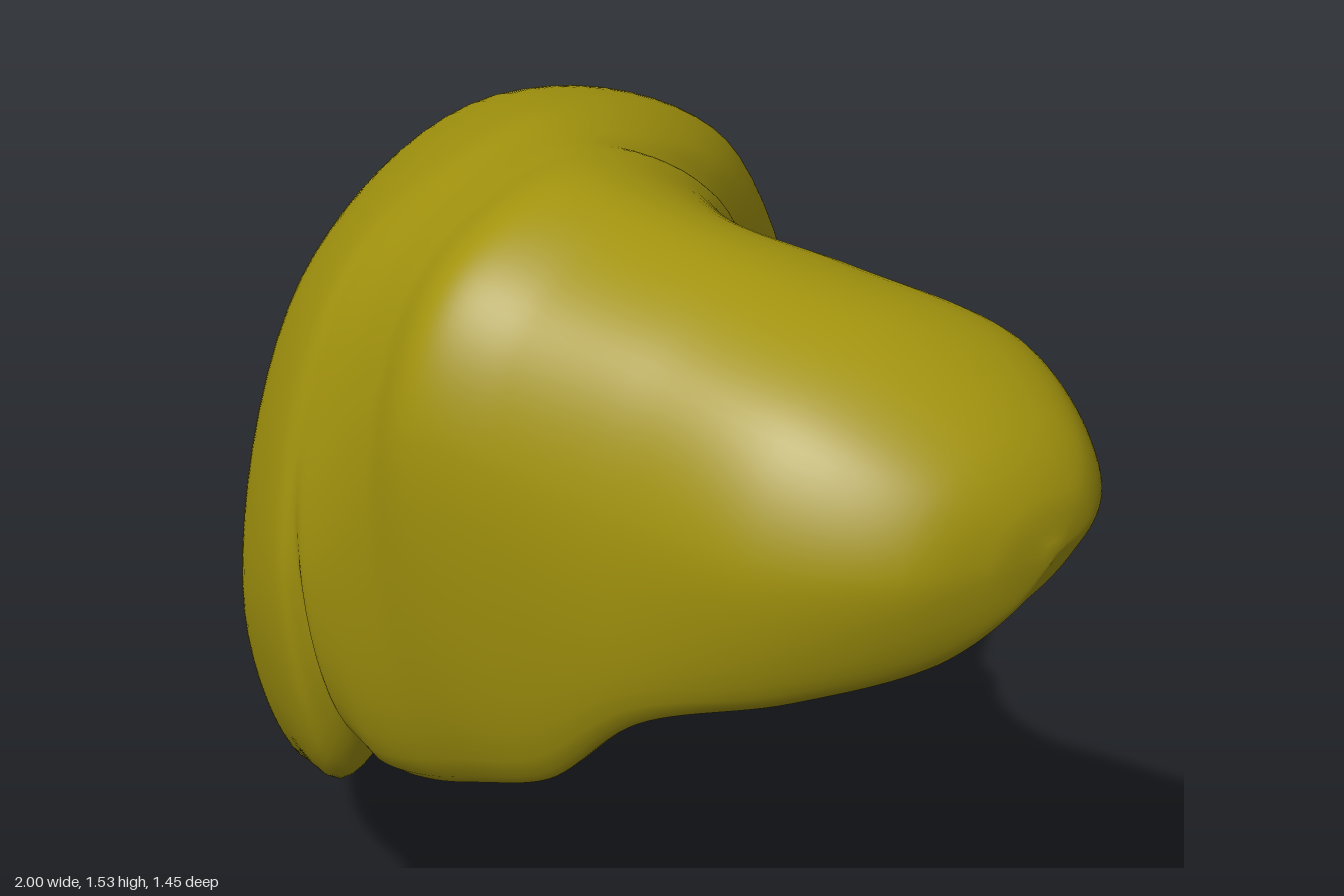
import * as THREE from 'three';

// Cross-sections along x for each lobe:
// x, lower front edge z y, front z y, top z y, rear edge z y, hollow of the underside
const RIGHT_LOBE = [
  [-1.0, -0.2, 0.32, -0.16, 0.48, -0.3, 0.65, -0.42, 0.46, -0.04],
  [-0.97, -0.08, 0.12, 0.0, 0.45, -0.28, 0.9, -0.53, 0.32, -0.08],
  [-0.91, -0.02, 0.05, 0.1, 0.45, -0.26, 1.07, -0.6, 0.2, -0.1],
  [-0.8, 0.12, 0.14, 0.26, 0.5, -0.2, 1.24, -0.69, 0.35, 0.05],
  [-0.65, 0.26, 0.21, 0.41, 0.55, -0.15, 1.35, -0.715, 0.53, 0.16],
  [-0.45, 0.41, 0.33, 0.56, 0.7, -0.05, 1.44, -0.665, 0.73, 0.18],
  [-0.25, 0.53, 0.43, 0.66, 0.85, 0.08, 1.5, -0.53, 0.87, 0.15],
];
const LEFT_LOBE = [
  [-0.18, 0.55, 0.54, 0.67, 0.88, 0.14, 1.515, -0.46, 0.89, 0.12],
  [-0.08, 0.57, 0.53, 0.68, 0.98, 0.2, 1.525, -0.33, 0.93, 0.14],
  [0.03, 0.58, 0.55, 0.695, 1.1, 0.26, 1.54, -0.2, 0.97, 0.14],
  [0.15, 0.58, 0.59, 0.715, 1.22, 0.33, 1.55, -0.05, 1.04, 0.13],
  [0.3, 0.57, 0.65, 0.675, 1.2, 0.32, 1.515, 0.02, 1.12, 0.13],
  [0.5, 0.57, 0.82, 0.63, 1.17, 0.3, 1.48, -0.03, 1.17, 0.11],
  [0.75, 0.5, 0.92, 0.58, 1.15, 0.25, 1.42, -0.07, 1.2, 0.06],
  [0.92, 0.38, 1.0, 0.46, 1.15, 0.22, 1.32, 0.02, 1.18, -0.01],
  [0.98, 0.3, 1.07, 0.34, 1.15, 0.21, 1.24, 0.1, 1.17, -0.02],
  [1.0, 0.22, 1.14, 0.225, 1.15, 0.21, 1.165, 0.195, 1.155, 0.0],
];
const SECTIONS = [...RIGHT_LOBE, ...LEFT_LOBE];
const SPLIT = RIGHT_LOBE.length; // section where the two lobes meet
const STEPS = 12;  // rings between sections
const AROUND = 90; // points in a ring

// Nine outline points of one cross-section
function outline([x, fz, fy, gz, gy, tz, ty, bz, by, hollow]) {
  const k = 0.73;
  const under = (s, depth) => [fz + (bz - fz) * s, fy + (by - fy) * s + hollow * depth];
  return [
    [fz, fy], [gz, gy],
    [tz + (gz - tz) * k, gy + (ty - gy) * k],
    [tz, ty],
    [tz + (bz - tz) * k, by + (ty - by) * k],
    [bz, by],
    under(0.75, 0.9), under(0.5, 1), under(0.25, 0.6),
  ].map(([z, y]) => new THREE.Vector3(x, y, z));
}

const dip = (d, width) => Math.exp(-((d / width) ** 2));

// Press the front cleft and the rear crease between the lobes into the surface
function crease(p) {
  const low = 1 - THREE.MathUtils.smoothstep(p.y, 0.75, 1.1);
  const front = THREE.MathUtils.smoothstep(p.z, 0.45, 0.6);
  p.z -= 0.02 * low * front * dip(p.x + 0.195, 0.018);
  const rear = 1 - THREE.MathUtils.smoothstep(p.z, -0.05, 0.25);
  const high = THREE.MathUtils.smoothstep(p.y, 0.9, 1.1);
  const amount = 0.025 * rear * high * dip(p.x - 0.02 - 0.2 * Math.min(p.z, 0), 0.04);
  p.z += amount;
  p.y -= amount * 0.6;
  return p;
}

// Smooth rings between two sections, closed with a fan at the chosen end
function loft(rails, first, last, capStart) {
  const pos = [], idx = [];
  const rings = (last - first) * STEPS;
  for (let i = 0; i <= rings; i++) {
    const t = (first + i / STEPS) / (SECTIONS.length - 1);
    const ring = new THREE.CatmullRomCurve3(rails.map((r) => r.getPoint(t)), true, 'centripetal');
    for (let j = 0; j < AROUND; j++) pos.push(...crease(ring.getPoint(j / AROUND)).toArray());
  }
  for (let i = 0; i < rings; i++) {
    for (let j = 0; j < AROUND; j++) {
      const n = (j + 1) % AROUND;
      const a = i * AROUND + j, b = a + AROUND, c = i * AROUND + n, d = c + AROUND;
      idx.push(a, b, c, b, d, c);
    }
  }
  const base = (capStart ? 0 : rings) * AROUND;
  const mid = new THREE.Vector3();
  for (let j = 0; j < AROUND; j++) {
    mid.add(new THREE.Vector3().fromArray(pos, (base + j) * 3));
  }
  mid.divideScalar(AROUND);
  const centre = pos.length / 3;
  pos.push(mid.x, mid.y, mid.z);
  for (let j = 0; j < AROUND; j++) {
    const a = base + j, b = base + ((j + 1) % AROUND);
    if (capStart) idx.push(centre, a, b);
    else idx.push(centre, b, a);
  }
  const geo = new THREE.BufferGeometry();
  geo.setAttribute('position', new THREE.Float32BufferAttribute(pos, 3));
  geo.setIndex(idx);
  geo.computeVertexNormals();
  return geo;
}

export function createModel() {
  const group = new THREE.Group();
  group.name = 'liver';
  const material = new THREE.MeshStandardMaterial({ color: 0xa3940e });

  // Lengthwise curves through matching outline points
  const outlines = SECTIONS.map(outline);
  const rails = outlines[0].map((_, k) =>
    new THREE.CatmullRomCurve3(outlines.map((o) => o[k]), false, 'centripetal'));

  const add = (name, geometry) => {
    const mesh = new THREE.Mesh(geometry, material);
    mesh.name = name;
    group.add(mesh);
  };
  add('rightLobe', loft(rails, 0, SPLIT, true));
  add('leftLobe', loft(rails, SPLIT, SECTIONS.length - 1, false));
  return group;
}
